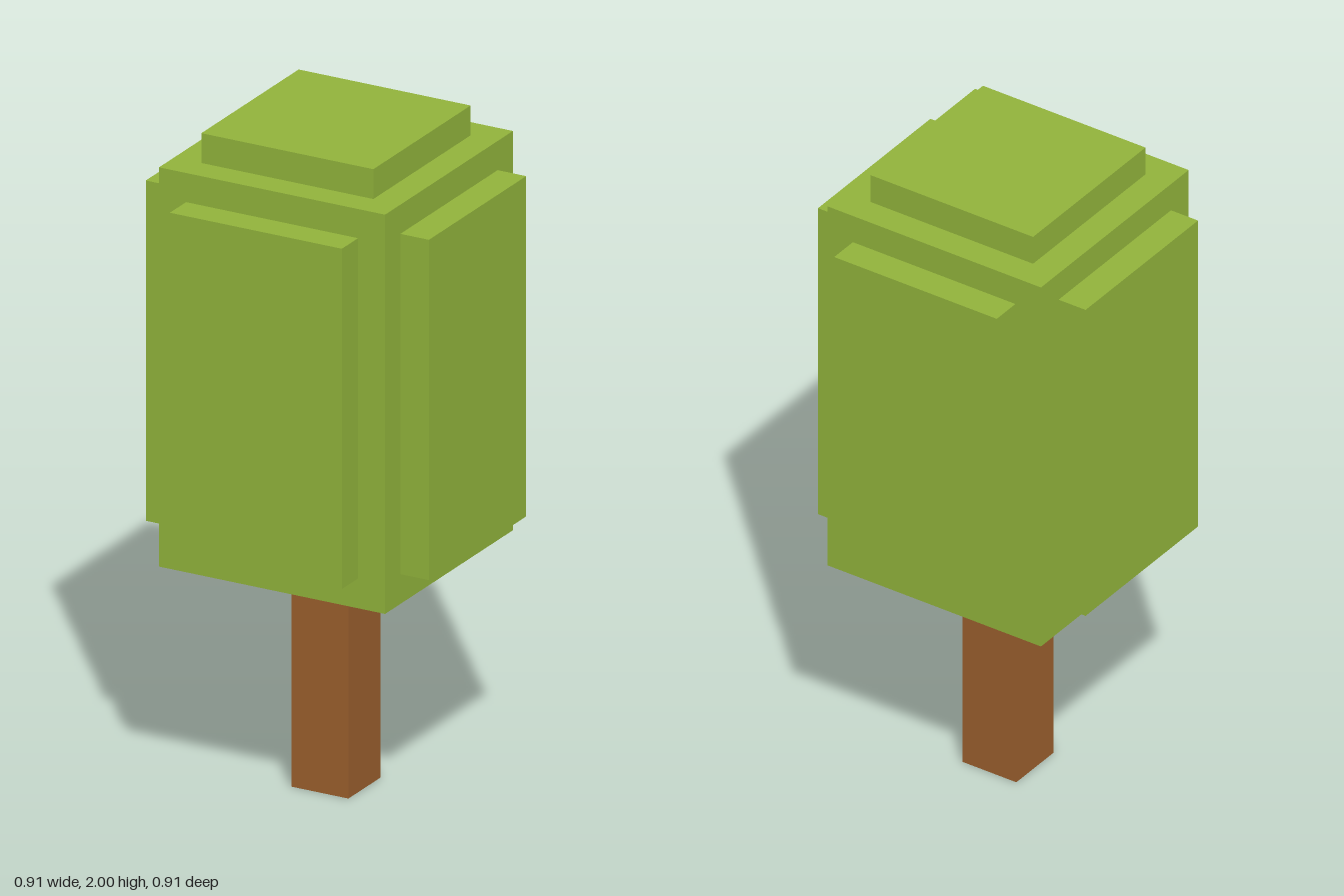
import * as THREE from 'three';

export function createModel() {
  const leafGreen = new THREE.MeshStandardMaterial({ color: 0x92b43c });
  leafGreen.name = 'leafGreen';
  const barkBrown = new THREE.MeshStandardMaterial({ color: 0x9b5f2d });
  barkBrown.name = 'barkBrown';

  const tree = new THREE.Group();
  tree.name = 'blockTree';

  // Box given by its width, depth and vertical extent
  function block(name, material, width, depth, bottom, top, x = 0, z = 0) {
    const mesh = new THREE.Mesh(new THREE.BoxGeometry(width, top - bottom, depth), material);
    mesh.name = name;
    mesh.position.set(x, (bottom + top) / 2, z);
    tree.add(mesh);
  }

  const core = 0.364;  // half width of the main foliage block
  const reach = 0.456; // how far the side slabs extend from the centre
  const slab = 0.554;  // width of the raised slabs
  const thick = reach - core;
  const offset = (reach + core) / 2;

  block('trunk', barkBrown, 0.184, 0.184, 0, 0.705);
  block('foliageCore', leafGreen, core * 2, core * 2, 0.705, 1.91);
  block('foliageTop', leafGreen, slab, slab, 1.91, 2);

  // Raised slabs on the four sides
  for (const side of [1, -1]) {
    block(side > 0 ? 'leftFoliageSlab' : 'rightFoliageSlab', leafGreen, thick, slab, 0.795, 1.822, side * offset, 0);
    block(side > 0 ? 'frontFoliageSlab' : 'backFoliageSlab', leafGreen, slab, thick, 0.795, 1.822, 0, side * offset);
  }

  return tree;
}
